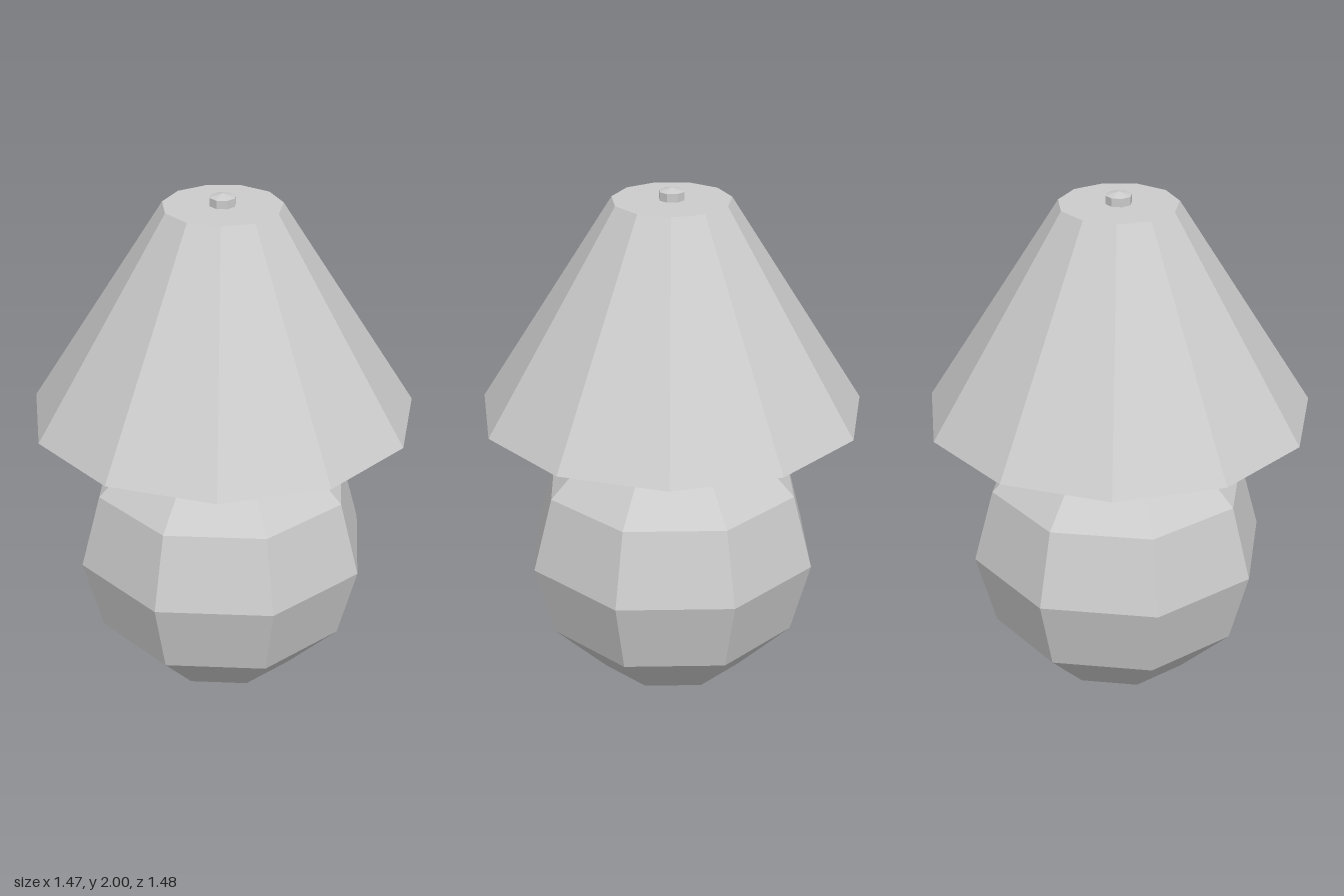
import * as THREE from 'three';

export function createModel() {
  const lamp = new THREE.Group();
  lamp.name = 'tableLamp';
  const material = new THREE.MeshStandardMaterial({ color: 0xcccccc, flatShading: true });
  const axisX = -0.015; // the odd-sided shade sets the lamp's axis slightly off centre

  function add(name, geometry, y = 0) {
    const mesh = new THREE.Mesh(geometry, material);
    mesh.name = name;
    mesh.position.set(axisX, y, 0);
    lamp.add(mesh);
  }

  // Faceted part standing between two heights, with a corner towards +x
  function frustum(name, rTop, rBottom, y0, y1, sides) {
    const g = new THREE.CylinderGeometry(rTop, rBottom, y1 - y0, sides, 1, false, Math.PI / 2);
    add(name, g, (y0 + y1) / 2);
  }

  // Round body: low-poly sphere with its lowest point pushed up to the ground
  const bodyY = 0.52;
  const body = new THREE.SphereGeometry(0.588, 8, 6);
  const p = body.attributes.position;
  for (let i = 0; i < p.count; i++) p.setY(i, Math.max(p.getY(i), -bodyY));
  body.computeVertexNormals();
  add('body', body, bodyY);

  // Neck between body and shade
  frustum('neck', 0.113, 0.113, 1.04, 1.14, 8);

  // Solid conical shade with eleven sides
  frustum('shade', 0.227, 0.75, 1.118, 1.955, 11);

  // Finial: short post with a shallow pointed cap
  frustum('finialPost', 0.05, 0.05, 1.95, 1.987, 8);
  frustum('finialCap', 0, 0.05, 1.987, 2.0, 8);

  return lamp;
}
